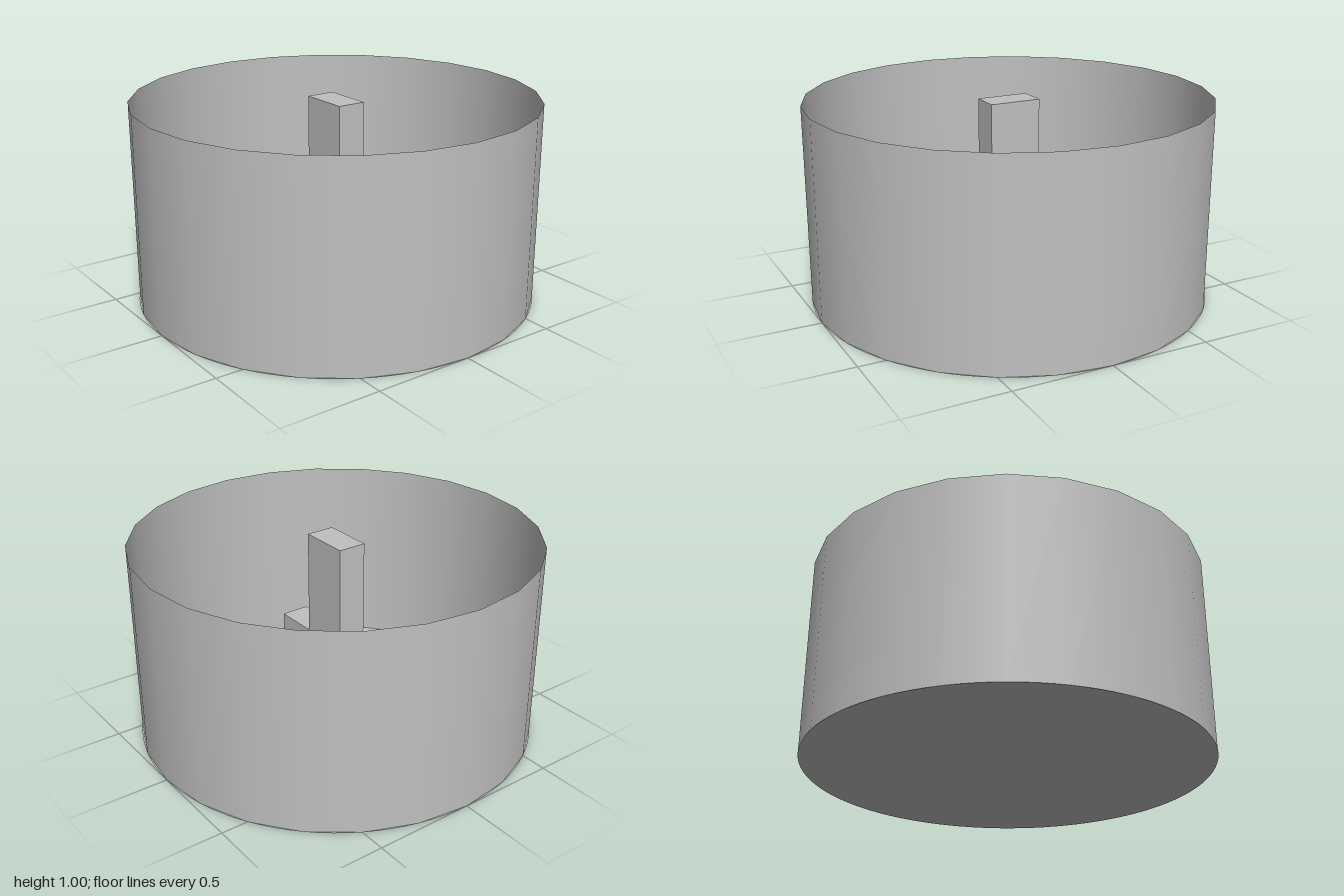
import * as THREE from 'three';

export function createModel() {
  const model = new THREE.Group();
  model.name = 'basin';

  const grey = new THREE.MeshStandardMaterial({ color: 0xc0c0c0, side: THREE.DoubleSide });
  grey.name = 'light grey';

  function add(name, geometry, x, y, z) {
    const mesh = new THREE.Mesh(geometry, grey);
    mesh.name = name;
    mesh.position.set(x, y, z);
    model.add(mesh);
  }

  // Open round wall, a single thin sheet
  add('wall', new THREE.CylinderGeometry(1, 1, 1, 24, 1, true), 0, 0.5, 0);

  // Floor disc, facing up
  add('floor', new THREE.CircleGeometry(1, 96).rotateX(-Math.PI / 2), 0, 0, 0);

  // Tall centre post with a lower block on each side
  const postHeight = 0.985, blockHeight = 0.46, depth = 0.145;
  add('centrePost', new THREE.BoxGeometry(0.26, postHeight, depth), 0, postHeight / 2, 0);
  for (const side of [-1, 1]) {
    add(side > 0 ? 'leftBlock' : 'rightBlock',
      new THREE.BoxGeometry(0.23, blockHeight, depth), side * 0.245, blockHeight / 2, 0);
  }

  return model;
}
